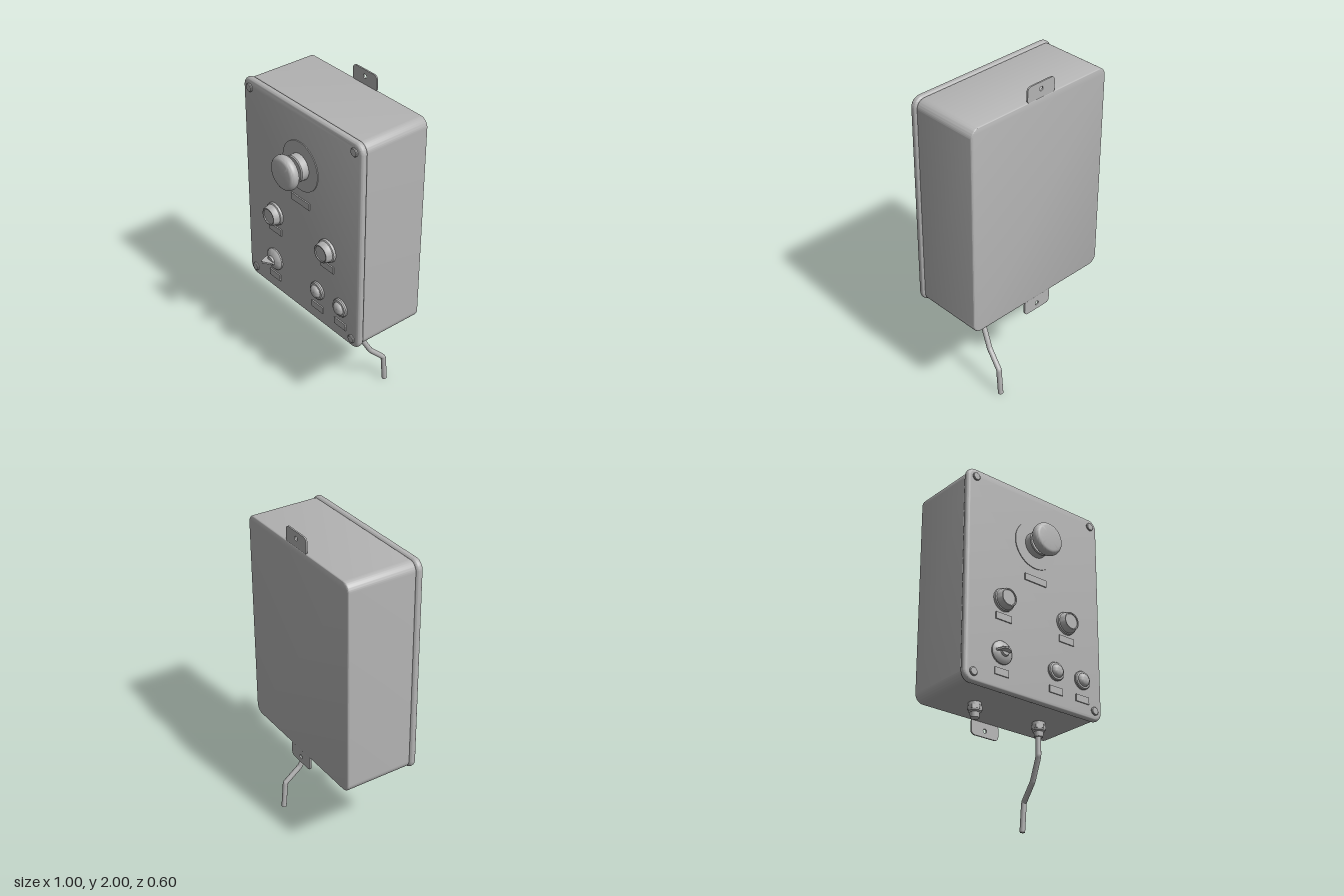
import * as THREE from 'three';
import { toCreasedNormals } from 'three/addons/utils/BufferGeometryUtils.js';

const grey = new THREE.MeshStandardMaterial({ color: 0xb4b4b4 });
grey.name = 'grey';
const FACE = 0.157; // front surface of the door

function roundedRect(w, h, r) {
  const s = new THREE.Shape(), x = w / 2, y = h / 2;
  s.absarc(x - r, y - r, r, 0, Math.PI / 2);
  s.absarc(-x + r, y - r, r, Math.PI / 2, Math.PI);
  s.absarc(-x + r, -y + r, r, Math.PI, Math.PI * 1.5);
  s.absarc(x - r, -y + r, r, Math.PI * 1.5, Math.PI * 2);
  s.closePath();
  return s;
}

export function createModel() {
  const model = new THREE.Group();
  model.name = 'controlBox';

  function add(name, geometry, x = 0, y = 0, z = 0) {
    const mesh = new THREE.Mesh(geometry, grey);
    mesh.name = name;
    mesh.position.set(x, y, z);
    model.add(mesh);
    return mesh;
  }

  // Rounded slab from z0 to z1 with rounded front and back edges
  function slab(name, w, h, r, z0, z1, bevel, y) {
    const geo = new THREE.ExtrudeGeometry(roundedRect(w - 2 * bevel, h - 2 * bevel, r - bevel), {
      depth: z1 - z0 - 2 * bevel, bevelEnabled: true, bevelSize: bevel,
      bevelThickness: bevel, bevelSegments: 5, curveSegments: 10,
    });
    add(name, toCreasedNormals(geo, 0.6), 0, y, z0 + bevel);
  }

  // Turned part on the door; profile is [radius, height above the door]
  function turned(name, profile, x, y, sides = 40) {
    const pts = profile.map(([r, h]) => new THREE.Vector2(r, h));
    const geo = new THREE.LatheGeometry(pts, sides).rotateX(Math.PI / 2);
    return add(name, toCreasedNormals(geo, 0.6), x, y, FACE);
  }

  // Enclosure and door
  slab('enclosure', 0.98, 1.31, 0.055, -0.3, 0.118, 0.01, 1.257);
  slab('door', 1.0, 1.325, 0.06, 0.115, FACE, 0.019, 1.257);

  // Door screws
  for (const x of [-0.44, 0.44]) for (const y of [0.652, 1.863]) {
    turned('doorScrew', [[0.025, -0.002], [0.025, 0.006], [0.021, 0.01], [0, 0.011]], x, y, 24);
  }

  // Emergency stop: backing disc, collar, neck and mushroom head
  turned('stopPlate', [[0.15, -0.001], [0.15, 0.005], [0, 0.006]], 0, 1.57, 64);
  turned('stopCollar', [[0.078, 0], [0.078, 0.048], [0.073, 0.054], [0.04, 0.054], [0.04, 0.08]], 0, 1.57);
  const head = [[0.03, 0.075], [0.075, 0.075]];
  for (let i = 1; i <= 10; i++) {
    const a = -Math.PI / 2 + (i / 10) * Math.PI;
    head.push([0.075 + 0.027 * Math.cos(a), 0.105 + 0.03 * Math.sin(a)]);
  }
  head.push([0.04, 0.137], [0, 0.138]);
  turned('stopHead', head, 0, 1.57, 48);

  // Tapered knobs
  for (const x of [-0.235, 0.23]) {
    turned('selectorKnob', [[0.07, -0.001], [0.069, 0.014], [0.063, 0.018], [0.056, 0.05], [0.052, 0.054],
      [0.046, 0.054], [0.045, 0.048], [0, 0.048]], x, 1.14);
  }

  // Domed push buttons
  for (const x of [0.145, 0.345]) {
    turned('buttonRing', [[0.056, -0.001], [0.056, 0.01], [0.051, 0.017], [0.041, 0.019], [0.041, 0.01]], x, 0.815);
    turned('buttonDome', [[0.04, 0.008], [0.04, 0.02], [0.034, 0.03], [0.024, 0.036], [0.012, 0.039], [0, 0.04]], x, 0.815);
  }

  // Key switch with a thin key blade
  turned('keySwitch', [[0.069, -0.001], [0.069, 0.008], [0.06, 0.018], [0.042, 0.026], [0.03, 0.03],
    [0.025, 0.041], [0, 0.042]], -0.248, 0.815);
  const blade = new THREE.Shape();
  blade.moveTo(-0.055, 0.015);
  blade.lineTo(0.03, 0.015);
  blade.lineTo(0.03, 0.055);
  blade.lineTo(-0.02, 0.085);
  blade.lineTo(-0.032, 0.078);
  blade.closePath();
  const bladeGeo = new THREE.ExtrudeGeometry(blade, { depth: 0.012, bevelEnabled: false });
  add('key', bladeGeo.translate(0, 0, -0.006).rotateX(Math.PI / 2), -0.248, 0.815, FACE);

  // Blank label plates
  const labels = [[0, 1.345, 0.16], [-0.235, 1.033, 0.11], [0.23, 1.033, 0.11],
    [-0.247, 0.7, 0.098], [0.145, 0.7, 0.098], [0.345, 0.7, 0.098]];
  for (const [x, y, w] of labels) {
    add('labelPlate', new THREE.BoxGeometry(w, 0.042, 0.009), x, y, FACE + 0.003);
  }

  // Wall mounting tabs with screw holes
  for (const [y, holeY] of [[1.95, 0.01], [0.564, -0.01]]) {
    const s = roundedRect(0.196, 0.1, 0.025);
    s.holes.push(new THREE.Path().absarc(0, holeY, 0.013, 0, Math.PI * 2, true));
    const geo = new THREE.ExtrudeGeometry(s, { depth: 0.009, bevelEnabled: false, curveSegments: 8 });
    add('mountingTab', toCreasedNormals(geo, 0.6), 0, y, -0.298);
  }

  // Cable glands: flange, hex nut and tapered sleeve
  for (const x of [-0.232, 0.232]) {
    add('glandFlange', new THREE.CylinderGeometry(0.037, 0.037, 0.03, 24), x, 0.592, -0.09);
    const nut = new THREE.CylinderGeometry(0.044, 0.044, 0.022, 6);
    add('glandNut', toCreasedNormals(nut, 0.6), x, 0.572, -0.09);
    const sleeve = [[0, 0.515], [0.026, 0.515], [0.028, 0.545], [0.037, 0.552], [0.038, 0.565]];
    const geo = new THREE.LatheGeometry(sleeve.map((p) => new THREE.Vector2(...p)), 24);
    add('glandSleeve', toCreasedNormals(geo, 0.6), x, 0, -0.09);
  }

  // Bent cable hanging from one gland
  const path = [[0.23, 0.55, -0.09], [0.23, 0.4, -0.09], [0.246, 0.27, -0.16], [0.262, 0.175, -0.255], [0.262, 0.002, -0.27]];
  const curve = new THREE.CurvePath();
  for (let i = 1; i < path.length; i++) {
    curve.add(new THREE.LineCurve3(new THREE.Vector3(...path[i - 1]), new THREE.Vector3(...path[i])));
  }
  add('cable', new THREE.TubeGeometry(curve, 48, 0.016, 14, false));
  add('cableEnd', new THREE.CircleGeometry(0.016, 14).rotateX(Math.PI / 2 + 0.087), ...path[path.length - 1]);

  return model;
}
